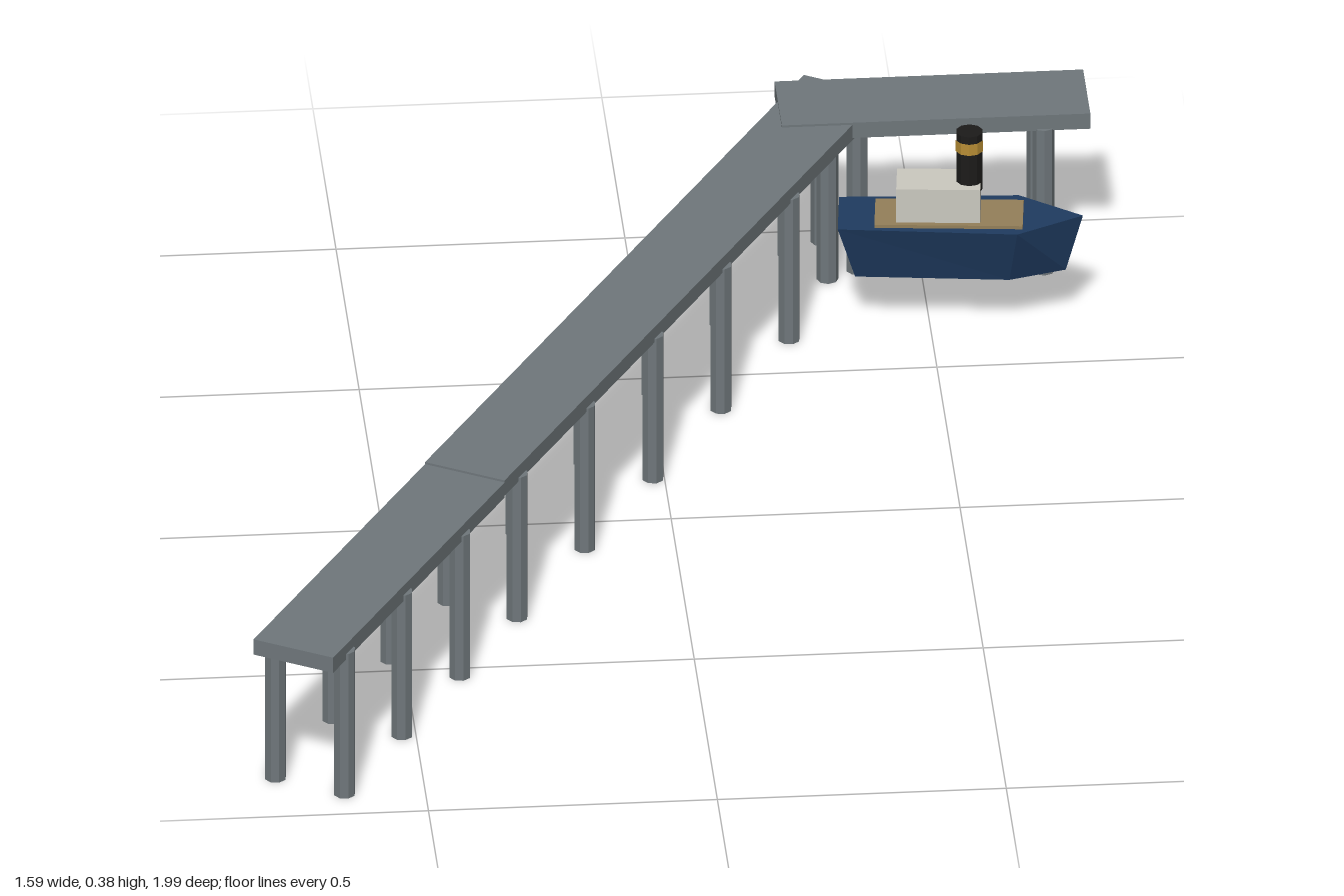
import * as THREE from 'three';

export function createModel() {
  const model = new THREE.Group();
  const flat = (name, color) => {
    const m = new THREE.MeshStandardMaterial({ color, flatShading: true });
    m.name = name;
    return m;
  };
  const concrete = flat('concrete grey', 0x6f777b);
  const navy = flat('hull navy', 0x1f3b60);
  const tan = flat('deck tan', 0x94805a);
  const cream = flat('cabin cream', 0xcbc9c0);
  const black = flat('funnel black', 0x1c1b1a);
  const gold = flat('band gold', 0xb88e35);

  const add = (parent, name, geometry, material, x = 0, y = 0, z = 0) => {
    const mesh = new THREE.Mesh(geometry, material);
    mesh.name = name;
    mesh.position.set(x, y, z);
    parent.add(mesh);
    return mesh;
  };

  const thick = 0.03;
  const pileGeo = new THREE.CylinderGeometry(0.019, 0.019, 0.285, 8);
  const pile = (parent, x, z) => add(parent, 'pile', pileGeo, concrete, x, 0.1425, z);

  // Long pier: local x runs from the shore end outwards
  const pier = new THREE.Group();
  pier.name = 'pier';
  pier.position.set(-0.73, 0, 0.9525);
  pier.rotation.y = Math.PI / 3;
  model.add(pier);
  const split = 0.689, end = 2.211, width = 0.152;
  add(pier, 'shoreDeck', new THREE.BoxGeometry(split, thick, width), concrete, split / 2, 0.289, 0);
  add(pier, 'mainDeck', new THREE.BoxGeometry(end - split, thick, width), concrete, (split + end) / 2, 0.293, 0);
  for (const s of [0.067, 0.297, 0.53, 0.76, 1.032, 1.306, 1.579, 1.853, 2.126]) {
    for (const side of [-1, 1]) pile(pier, s, side * 0.066);
  }

  // Cross platform at the pier head
  const head = new THREE.Group();
  head.name = 'pierHead';
  model.add(head);
  add(head, 'headDeck', new THREE.BoxGeometry(0.534, thick, 0.157), concrete, 0.524, 0.297, -0.8955);
  for (const x of [0.337, 0.711]) {
    for (const z of [-0.962, -0.828]) pile(head, x, z);
  }

  // Boat moored beside the head, bow towards local +x
  const boat = new THREE.Group();
  boat.name = 'boat';
  boat.position.set(0.553, 0, -0.661);
  boat.rotation.y = -0.1;
  model.add(boat);

  // Hull: extruded plan outline, drawn in towards the keel
  const plan = new THREE.Shape([
    [-0.21, -0.058], [0.1, -0.07], [0.212, 0], [0.1, 0.07], [-0.21, 0.058],
  ].map(([x, y]) => new THREE.Vector2(x, y)));
  const hull = new THREE.ExtrudeGeometry(plan, { depth: 0.107, bevelEnabled: false });
  hull.rotateX(-Math.PI / 2);
  const pos = hull.attributes.position;
  for (let i = 0; i < pos.count; i++) {
    if (pos.getY(i) < 0.05) {
      pos.setX(i, pos.getX(i) * 0.86);
      pos.setZ(i, pos.getZ(i) * 0.55);
    }
  }
  hull.computeVertexNormals();
  add(boat, 'hull', hull, navy, 0, 0.103, 0);

  // Deck, cabin and funnel
  add(boat, 'boatDeck', new THREE.BoxGeometry(0.256, 0.012, 0.094), tan, -0.019, 0.21, 0.004);
  add(boat, 'cabin', new THREE.BoxGeometry(0.145, 0.067, 0.075), cream, -0.037, 0.2475, 0.004);
  add(boat, 'funnel', new THREE.CylinderGeometry(0.0235, 0.0235, 0.112, 10), black, 0.016, 0.321, 0.004);
  add(boat, 'funnelBand', new THREE.CylinderGeometry(0.0245, 0.0245, 0.022, 10, 1, true), gold, 0.016, 0.352, 0.004);

  return model;
}
